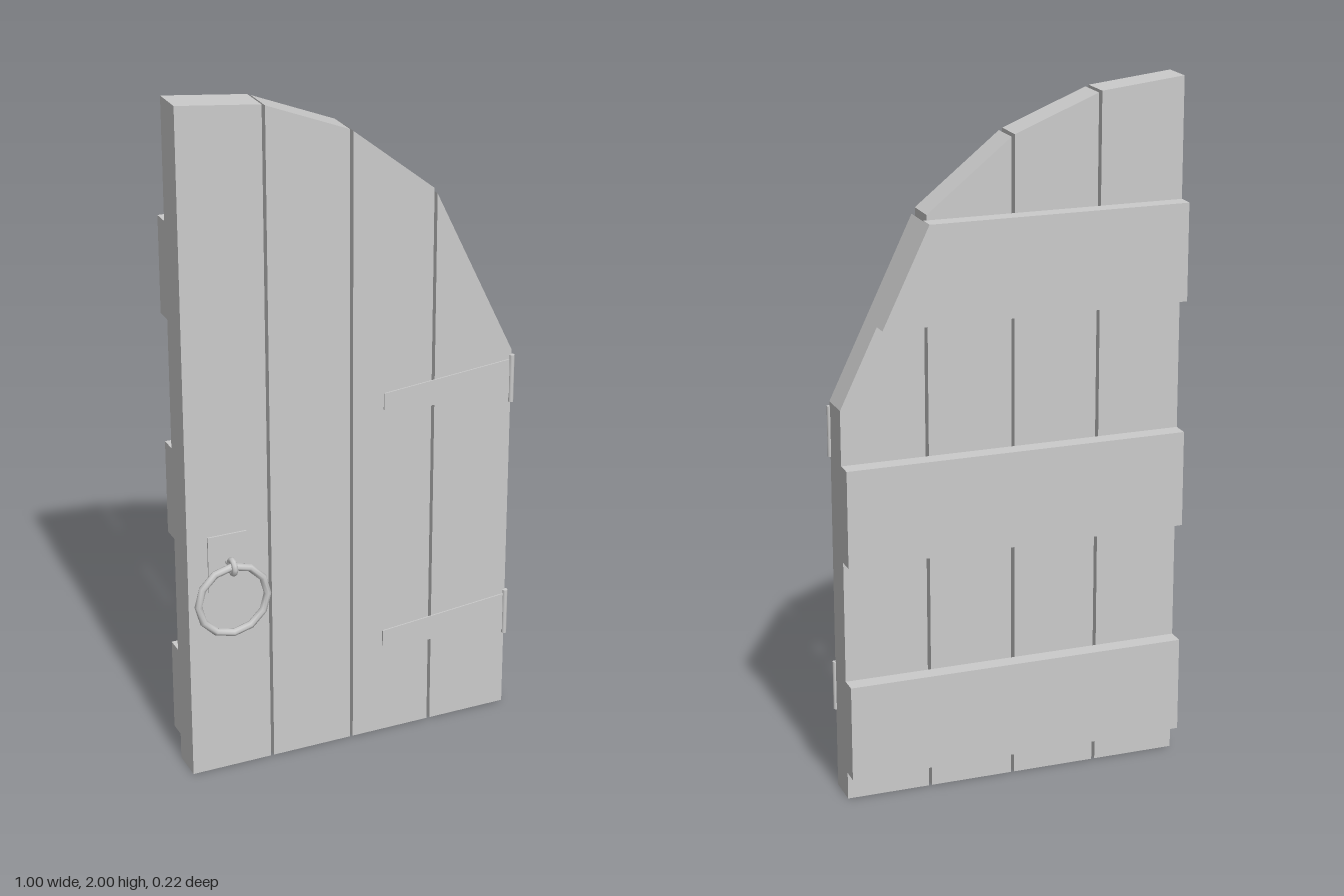
import * as THREE from 'three';

const material = new THREE.MeshStandardMaterial({ color: 0xcccccc });

// Extrudes an x/y outline between two depths.
function slab(name, points, zBack, zFront) {
  const shape = new THREE.Shape(points.map(([x, y]) => new THREE.Vector2(x, y)));
  const geometry = new THREE.ExtrudeGeometry(shape, { depth: zFront - zBack, bevelEnabled: false });
  geometry.translate(0, 0, zBack);
  const mesh = new THREE.Mesh(geometry, material);
  mesh.name = name;
  return mesh;
}

function part(name, geometry, x, y, z) {
  const mesh = new THREE.Mesh(geometry, material);
  mesh.name = name;
  mesh.position.set(x, y, z);
  return mesh;
}

export function createModel() {
  const door = new THREE.Group();
  door.name = 'archedDoor';

  const LEFT = -0.502, RIGHT = 0.4945;
  const BACK = -0.058, FACE = 0.04;

  // Four vertical planks, cut along the arch
  const tops = [[2.0, 1.973], [1.969, 1.872], [1.866, 1.672], [1.655, 1.152]];
  tops.forEach(([a, b], i) => {
    const x0 = LEFT + i * 0.2515, x1 = x0 + 0.242;
    door.add(slab('plank', [[x0, 0], [x1, 0], [x1, b], [x0, a]], BACK, FACE));
  });

  // Three cross battens on the back; the top one follows the arch
  const battens = [[0.08, 0.36, RIGHT, RIGHT], [0.715, 0.995, RIGHT, RIGHT], [1.377, 1.657, 0.387, 0.2515]];
  for (const [y0, y1, xLow, xHigh] of battens) {
    door.add(slab('batten', [[LEFT, y0], [xLow, y0], [xHigh, y1], [LEFT, y1]], -0.108, BACK));
  }

  // Hinges: tapered strap and pin barrel
  for (const y of [0.309, 1.065]) {
    const hinge = new THREE.Group();
    hinge.name = 'hinge';
    hinge.add(slab('hingeStrap',
      [[0.095, y - 0.025], [RIGHT, y - 0.06], [RIGHT, y + 0.06], [0.095, y + 0.025]], FACE, 0.044));
    hinge.add(part('hingeBarrel', new THREE.CylinderGeometry(0.0075, 0.0075, 0.145, 12), RIGHT, y, 0.043));
    door.add(hinge);
  }

  // Pull handle: back plate, stem, eye and hanging ring
  const handle = new THREE.Group();
  handle.name = 'handle';
  const hx = -0.384, eyeY = 0.668, ringZ = 0.08;
  handle.add(part('handlePlate', new THREE.BoxGeometry(0.116, 0.172, 0.005), hx, 0.666, 0.0425));
  const stem = part('handleStem', new THREE.CylinderGeometry(0.008, 0.008, 0.02, 10), hx, eyeY, 0.05);
  stem.rotation.x = Math.PI / 2;
  handle.add(stem);
  const eye = part('handleEye', new THREE.TorusGeometry(0.019, 0.009, 8, 12), hx, eyeY, ringZ);
  eye.rotation.y = Math.PI / 2;
  handle.add(eye);
  handle.add(part('handleRing', new THREE.TorusGeometry(0.104, 0.011, 8, 12), hx, 0.564, ringZ));
  door.add(handle);

  return door;
}
